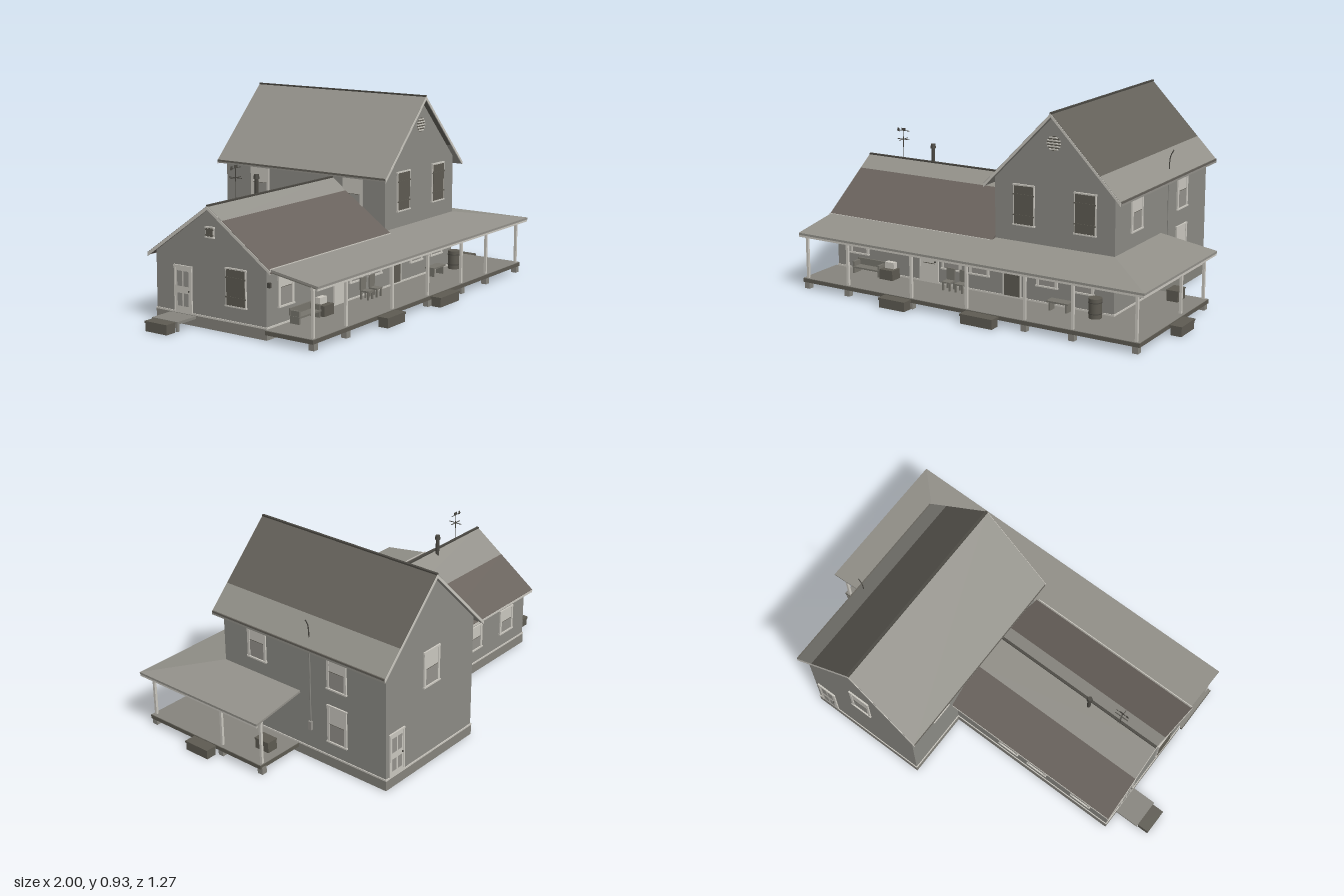
import * as THREE from 'three';
import { ConvexGeometry } from 'three/addons/geometries/ConvexGeometry.js';

const mat = (name, color) => Object.assign(new THREE.MeshStandardMaterial({ color }), { name });
const M = {
  wall: mat('wall siding', 0x8c8b85),
  trim: mat('pale trim', 0xcac7bf),
  glass: mat('grey glass', 0x94928c),
  dark: mat('dark shutters', 0x5e5b52),
  stone: mat('foundation and boards', 0x86847d),
  wood: mat('weathered wood', 0x77756d),
  roofLight: mat('roof light grey', 0x93918a),
  roofDark: mat('roof dark grey', 0x64615a),
  roofBrown: mat('roof brown', 0x69625c),
  metal: mat('dark metal', 0x4a4842),
};

export function createModel() {
  const root = new THREE.Group();
  root.name = 'farmhouse';
  const add = (name, geo, m, parent = root) => {
    const mesh = new THREE.Mesh(geo, m);
    mesh.name = name;
    parent.add(mesh);
    return mesh;
  };
  const box = (name, m, x0, x1, y0, y1, z0, z1, parent = root) =>
    add(name, new THREE.BoxGeometry(x1 - x0, y1 - y0, z1 - z0)
      .translate((x0 + x1) / 2, (y0 + y1) / 2, (z0 + z1) / 2), m, parent);
  const cyl = (name, m, x, y0, y1, z, r, r2 = r, n = 16) =>
    add(name, new THREE.CylinderGeometry(r2, r, y1 - y0, n).translate(x, (y0 + y1) / 2, z), m);
  // Cross-section extruded along z, or along x when alongX (section is then z, y)
  const prism = (name, m, pts, a, b, alongX = false) => {
    const g = new THREE.ExtrudeGeometry(new THREE.Shape(pts.map(p => new THREE.Vector2(...p))),
      { depth: b - a, bevelEnabled: false });
    if (alongX) g.rotateY(-Math.PI / 2).translate(b, 0, 0);
    else g.translate(0, 0, a);
    return add(name, g, m);
  };
  const strip = (u0, u1, f, t, lift = 0) =>
    [[u0, f(u0) + lift], [u1, f(u1) + lift], [u1, f(u1) - t], [u0, f(u0) - t]];

  // Two-storey house and low wing
  const mainY = x => 0.925 - 1.02 * Math.abs(x - 0.385);
  const wingY = z => 0.548 - 0.71 * Math.abs(z - 0.03);
  box('mainFoundation', M.stone, 0.08, 0.693, 0.002, 0.05, -0.613, 0.333);
  box('wingFoundation', M.stone, -0.818, 0.08, 0.002, 0.05, -0.283, 0.333);
  box('mainFloorUnderside', M.trim, 0.1, 0.673, 0, 0.004, -0.593, 0.313);
  box('wingFloorUnderside', M.trim, -0.798, 0.092, 0, 0.004, -0.263, 0.313);
  prism('mainWalls', M.wall, [[0.083, 0.05], [0.69, 0.05], [0.69, mainY(0.69) - 0.015],
    [0.385, 0.908], [0.083, mainY(0.083) - 0.015]], -0.61, 0.33);
  prism('wingWalls', M.wall, [[0.33, 0.05], [0.33, wingY(0.33) - 0.013], [0.03, 0.534],
    [-0.28, wingY(-0.28) - 0.013], [-0.28, 0.05]], -0.815, 0.085, true);
  box('mainSillTrim', M.trim, 0.079, 0.694, 0.05, 0.058, -0.614, 0.334);
  box('wingSillTrim', M.trim, -0.819, 0.08, 0.05, 0.058, -0.284, 0.334);

  // Roof slopes in coloured bands, with barge boards, eave boards and ridge caps
  for (const [m, a, b] of [[M.roofLight, 0.04, 0.385], [M.roofDark, 0.385, 0.63], [M.roofLight, 0.63, 0.733]])
    prism('mainRoof', m, strip(a, b, mainY, 0.014), -0.635, 0.36);
  for (const [m, a, b] of [[M.roofBrown, -0.315, -0.12], [M.roofLight, -0.12, 0.03],
    [M.roofLight, 0.03, 0.11], [M.roofBrown, 0.11, 0.365]])
    prism('wingRoof', m, strip(a, b, wingY, 0.014), -0.835, 0.085, true);
  for (const [a, b] of [[0.04, 0.385], [0.385, 0.73]]) for (const z of [-0.637, 0.357])
    prism('mainBargeBoard', M.trim, strip(a, b, mainY, 0.018, -0.002), z, z + 0.005);
  for (const [a, b] of [[-0.315, 0.03], [0.03, 0.365]])
    prism('wingBargeBoard', M.trim, strip(a, b, wingY, 0.018, -0.002), -0.837, -0.832, true);
  for (const x of [0.042, 0.731])
    box('mainEaveBoard', M.roofDark, x - 0.003, x + 0.003, 0.566, 0.575, -0.634, 0.357);
  box('wingBackEaveBoard', M.trim, -0.834, 0.08, 0.29, 0.301, -0.317, -0.312);
  box('wingFrontEaveBoard', M.trim, -0.834, 0.075, 0.304, 0.317, 0.363, 0.367);
  box('mainRidgeCap', M.metal, 0.379, 0.391, 0.921, 0.928, -0.635, 0.36);
  box('wingRidgeCap', M.metal, -0.835, 0.083, 0.544, 0.551, 0.024, 0.036);

  // Windows and doors, built facing +z and then turned to their wall
  const opening = (name, x, y0, y1, z, turn, w, fill = 'sash') => {
    const g = new THREE.Group();
    g.name = name;
    g.position.set(x, y0, z);
    g.rotation.y = turn;
    root.add(g);
    const h = y1 - y0, s = w / 2, f = fill === 'sash' ? 0.013 : 0.007;
    for (const sx of [-1, 1])
      box('sideFrame', M.trim, sx * (s - f / 2) - f / 2, sx * (s - f / 2) + f / 2, 0, h, 0, 0.007, g);
    box('headFrame', M.trim, -s - 0.002, s + 0.002, h - 0.008, h, 0, 0.008, g);
    if (fill === 'sash') {
      box('sill', M.trim, -s - 0.003, s + 0.003, 0, 0.007, 0, 0.01, g);
      box('upperBlind', M.trim, -s + f, s - f, h / 2, h - 0.008, 0, 0.004, g);
      box('lowerPane', M.glass, -s + f, s - f, 0.007, h / 2, 0, 0.003, g);
      box('meetingRail', M.dark, -s + f, s - f, h / 2 - 0.001, h / 2 + 0.001, 0, 0.005, g);
    } else if (fill === 'shutter') {
      box('sill', M.trim, -s - 0.003, s + 0.003, 0, 0.007, 0, 0.01, g);
      box('shutterPanel', M.dark, -s + 0.005, s - 0.005, 0.007, h - 0.006, 0, 0.008, g);
      for (const k of [0.25, 0.75])
        box('shutterBatten', M.dark, -s, s, h * k - 0.003, h * k + 0.003, 0.007, 0.01, g);
    } else {
      box('doorLeaf', fill === 'darkDoor' ? M.dark : M.trim, -s + f, s - f, 0, h - f, 0, 0.005, g);
      if (fill === 'panelDoor') for (const sx of [-1, 1]) {
        const c = sx * s * 0.36;
        box('doorGlass', M.glass, c - s * 0.28, c + s * 0.28, h * 0.55, h * 0.88, 0, 0.006, g);
        box('doorPanel', M.glass, c - s * 0.26, c + s * 0.26, h * 0.12, h * 0.4, 0, 0.006, g);
      }
      if (fill === 'plainDoor') box('doorRail', M.dark, -s * 0.6, s * 0.6, h * 0.4, h * 0.415, 0, 0.006, g);
      box('doorHandle', M.metal, s * 0.62, s * 0.74, h * 0.44, h * 0.47, 0, 0.01, g);
    }
  };
  const R = Math.PI / 2;
  for (const x of [0.235, 0.545]) opening('frontUpperWindow', x, 0.395, 0.585, 0.33, 0, 0.108, 'shutter');
  for (const x of [-0.683, -0.155, -0.003, 0.355, 0.538]) opening('frontPorchWindow', x, 0.127, 0.3, 0.33, 0, 0.108);
  opening('frontWingDoor', -0.28, 0.058, 0.27, 0.33, 0, 0.105, 'plainDoor');
  opening('frontMainDoor', 0.173, 0.058, 0.27, 0.33, 0, 0.095, 'darkDoor');
  for (const z of [0.127, -0.34]) {
    opening('rightUpperWindow', 0.69, 0.39, 0.568, z, R, 0.11);
    opening('rightLowerWindow', 0.69, 0.125, 0.312, z, R, 0.11);
  }
  for (const z of [0.15, -0.4]) opening('leftUpperWindow', 0.083, 0.39, 0.568, z, -R, 0.11);
  opening('backUpperWindow', 0.385, 0.395, 0.57, -0.61, 2 * R, 0.11);
  opening('backDoor', 0.62, 0.058, 0.27, -0.61, 2 * R, 0.1, 'panelDoor');
  for (const x of [-0.23, -0.4, -0.66]) opening('wingBackWindow', x, 0.125, 0.255, -0.28, 2 * R, 0.108);
  opening('wingSideDoor', -0.815, 0.058, 0.265, -0.125, -R, 0.1, 'panelDoor');
  opening('wingSideWindow', -0.815, 0.12, 0.29, 0.17, -R, 0.11, 'shutter');
  opening('wingGableVent', -0.815, 0.405, 0.455, 0.03, -R, 0.045, 'shutter');

  // Round gable vent
  add('gableVentDisc', new THREE.CircleGeometry(0.034, 24).translate(0.385, 0.787, 0.332), M.dark);
  for (let i = -2; i <= 2; i++) {
    const y = 0.787 + i * 0.013, s = Math.sqrt(0.00115 - (i * 0.013) ** 2);
    box('ventSlat', M.trim, 0.385 - s, 0.385 + s, y - 0.003, y + 0.003, 0.33, 0.336);
  }

  // Wrap-around porch roof: two sloped slabs meeting at a hip
  const slab = (name, pts) => add(name, new ConvexGeometry(pts.flatMap(([x, y, z]) =>
    [new THREE.Vector3(x, y, z), new THREE.Vector3(x, y - 0.01, z)])), M.roofLight);
  slab('porchRoofFront', [[-0.83, 0.32, 0.33], [0.69, 0.32, 0.33], [0.97, 0.276, 0.605], [-0.83, 0.276, 0.605]]);
  slab('porchRoofSide', [[0.69, 0.32, 0.33], [0.69, 0.32, -0.125], [0.97, 0.276, -0.125], [0.97, 0.276, 0.605]]);
  box('frontFascia', M.trim, -0.83, 0.968, 0.256, 0.268, 0.598, 0.603);
  box('sideFascia', M.trim, 0.963, 0.968, 0.256, 0.268, -0.124, 0.603);
  box('frontBeam', M.trim, -0.82, 0.927, 0.252, 0.265, 0.56, 0.574);
  box('sideBeam', M.trim, 0.913, 0.927, 0.252, 0.265, -0.11, 0.574);
  const rafter = (x, z, turn) => {
    const g = new THREE.BoxGeometry(0.008, 0.01, 0.265).translate(0, 0, 0.1325).rotateX(Math.atan(0.16));
    const r = add('rafter', g, M.wood);
    r.position.set(x, 0.306, z);
    r.rotation.y = turn;
  };
  for (let i = 0; i < 29; i++) rafter(-0.815 + i * 0.0535, 0.33, 0);
  for (let i = 0; i < 9; i++) rafter(0.69, -0.11 + i * 0.0535, R);

  // Deck boards with a dark rim, joists inside the rim, posts and piers
  box('frontDeck', M.stone, -0.83, 0.94, 0.042, 0.05, 0.333, 0.58);
  box('sideDeck', M.stone, 0.693, 0.94, 0.042, 0.05, -0.11, 0.333);
  box('frontRim', M.dark, -0.832, 0.942, 0.03, 0.048, 0.572, 0.582);
  box('rightRim', M.dark, 0.932, 0.942, 0.03, 0.048, -0.112, 0.582);
  box('leftRim', M.dark, -0.832, -0.822, 0.03, 0.048, 0.333, 0.582);
  box('backRim', M.dark, 0.693, 0.942, 0.03, 0.048, -0.112, -0.102);
  for (let i = 0; i < 29; i++) box('deckJoist', M.dark, -0.8 + i * 0.06, -0.792 + i * 0.06, 0.032, 0.042, 0.333, 0.573);
  for (let i = 0; i < 7; i++) box('sideJoist', M.dark, 0.693, 0.933, 0.032, 0.042, -0.07 + i * 0.06, -0.062 + i * 0.06);
  const posts = [-0.81, -0.575, -0.217, 0.08, 0.38, 0.617, 0.92].map(x => [x, 0.567]);
  posts.push([0.92, 0.14], [0.92, -0.1]);
  for (const [x, z] of posts) {
    box('porchPost', M.trim, x - 0.006, x + 0.006, 0.05, 0.255, z - 0.006, z + 0.006);
    box('pier', M.stone, x - 0.014, x + 0.014, 0, 0.036, z - 0.014, z + 0.014);
  }

  // Steps and side landing
  const step = (name, x0, x1, z0, z1) => {
    box(name + 'Tread', M.dark, x0, x1, 0.036, 0.046, z0, z1);
    box(name + 'Base', M.dark, x0 + 0.003, x1 - 0.003, 0, 0.036, z0 + 0.003, z1 - 0.003);
  };
  step('frontLeftStep', 0.085, 0.255, 0.582, 0.637);
  step('frontRightStep', -0.355, -0.21, 0.582, 0.637);
  step('rightStep', 0.942, 1, 0.16, 0.297);
  step('sideStep', -1, -0.938, -0.19, -0.065);
  box('landing', M.stone, -0.94, -0.818, 0.036, 0.048, -0.2, -0.055);
  for (const z of [-0.19, -0.077]) box('landingLeg', M.stone, -0.93, -0.915, 0, 0.036, z, z + 0.012);

  // Porch furniture
  box('benchSeat', M.wood, -0.68, -0.52, 0.076, 0.084, 0.35, 0.4);
  box('benchBack', M.wood, -0.68, -0.52, 0.084, 0.116, 0.345, 0.352);
  for (const x of [-0.678, -0.532]) box('benchLeg', M.wood, x, x + 0.01, 0.05, 0.108, 0.35, 0.398);
  box('crate', M.dark, -0.512, -0.438, 0.05, 0.098, 0.35, 0.41);
  box('crateTop', M.trim, -0.5, -0.45, 0.098, 0.128, 0.355, 0.38);
  for (const x of [-0.14, -0.07]) {
    box('chairSeat', M.wood, x - 0.022, x + 0.022, 0.085, 0.092, 0.36, 0.405);
    box('chairBack', M.wood, x - 0.022, x + 0.022, 0.092, 0.148, 0.357, 0.363);
    for (const sx of [-0.018, 0.018]) for (const z of [0.362, 0.4])
      box('chairLeg', M.wood, x + sx - 0.004, x + sx + 0.004, 0.05, 0.086, z - 0.004, z + 0.004);
  }
  box('tableTop', M.wood, 0.395, 0.505, 0.088, 0.096, 0.36, 0.41);
  for (const x of [0.405, 0.488]) box('tableLeg', M.wood, x, x + 0.008, 0.05, 0.088, 0.366, 0.404);
  cyl('barrel', M.dark, 0.627, 0.05, 0.14, 0.384, 0.03, 0.03, 20);
  for (const y of [0.07, 0.12]) cyl('barrelHoop', M.metal, 0.627, y, y + 0.004, 0.384, 0.0312, 0.0312, 20);
  box('sideChest', M.dark, 0.79, 0.845, 0.05, 0.097, -0.068, 0.01);
  box('sideChestLid', M.dark, 0.788, 0.847, 0.097, 0.102, -0.07, 0.012);
  for (const x of [-0.805, -0.212, 0.25]) box('wallLamp', M.metal, x - 0.006, x + 0.006, 0.228, 0.25, 0.33, 0.345);

  // Stove pipe, weather vane and electric service
  cyl('stovePipe', M.metal, -0.47, 0.52, 0.615, 0.01, 0.009);
  cyl('pipeCap', M.metal, -0.47, 0.612, 0.632, 0.01, 0.014, 0.011);
  cyl('vanePole', M.metal, -0.635, 0.54, 0.69, 0.025, 0.002, 0.0015, 8);
  box('vaneArm', M.metal, -0.67, -0.6, 0.639, 0.642, 0.0235, 0.0265);
  box('vaneCrossArm', M.metal, -0.6365, -0.6335, 0.639, 0.642, -0.01, 0.06);
  box('vaneArrow', M.metal, -0.672, -0.6, 0.682, 0.685, 0.024, 0.026);
  box('vaneTail', M.metal, -0.668, -0.658, 0.677, 0.694, 0.024, 0.026);
  box('vaneFigure', M.metal, -0.645, -0.622, 0.685, 0.696, 0.024, 0.026);
  box('meterBox', M.glass, 0.69, 0.704, 0.15, 0.192, -0.196, -0.18);
  cyl('conduit', M.wall, 0.694, 0.19, 0.6, -0.188, 0.003, 0.003, 8);
  add('serviceMast', new THREE.TubeGeometry(new THREE.CatmullRomCurve3([[0.694, 0.59], [0.696, 0.64],
    [0.701, 0.67], [0.717, 0.7]].map(([x, y]) => new THREE.Vector3(x, y, -0.188))), 16, 0.0025, 8), M.metal);
  return root;
}
